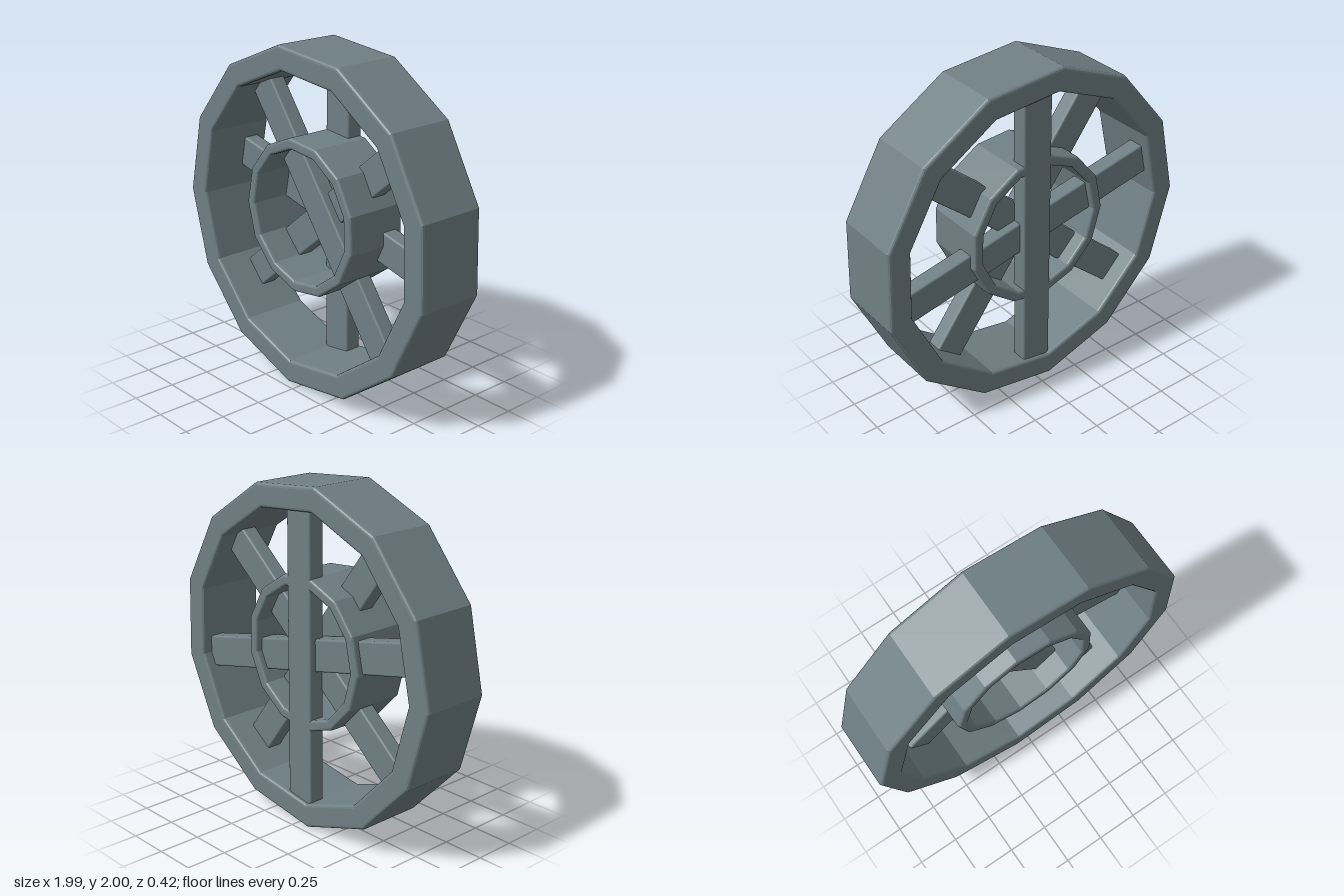
import * as THREE from 'three';
import { RoundedBoxGeometry } from 'three/addons/geometries/RoundedBoxGeometry.js';

const SIDES = 13;
const START = THREE.MathUtils.degToRad(98.7);

// Corner points of a thirteen-sided polygon
function polygon(radius) {
  return Array.from({ length: SIDES }, (_, i) => {
    const a = START + (i / SIDES) * Math.PI * 2;
    return new THREE.Vector2(Math.cos(a) * radius, Math.sin(a) * radius);
  });
}

// Faceted ring with softened edges, centred on z = 0
function ring(outer, inner, depth, bevel) {
  const shape = new THREE.Shape(polygon(outer));
  shape.holes.push(new THREE.Path(polygon(inner).reverse()));
  const geometry = new THREE.ExtrudeGeometry(shape, {
    depth: depth - 2 * bevel,
    bevelSize: bevel,
    bevelThickness: bevel,
    bevelOffset: -bevel,
    bevelSegments: 3,
  });
  geometry.translate(0, 0, -depth / 2 + bevel);
  return geometry;
}

export function createModel() {
  const wheel = new THREE.Group();
  wheel.name = 'spokedWheel';
  const slate = new THREE.MeshStandardMaterial({ color: 0x6f7f84 });
  slate.name = 'slateGrey';

  const add = (name, geometry, x, y, z) => {
    const mesh = new THREE.Mesh(geometry, slate);
    mesh.name = name;
    mesh.position.set(x, y, z);
    wheel.add(mesh);
    return mesh;
  };

  // Outer rim and open hub
  add('rim', ring(1.008, 0.865, 0.424, 0.018), 0.005, 1, 0);
  add('hub', ring(0.456, 0.392, 0.38, 0.016), -0.015, 1.033, 0);

  // Four full-width bars stacked from back to front: angle, height, depth
  const bars = [
    [90, 1.0, -0.14],
    [-12.5, 1.015, -0.1],
    [40, 1.012, -0.05],
    [-53.3, 1.03, 0.0],
  ];
  bars.forEach(([angle, y, z], i) => {
    const bar = add(`spokeBar${i + 1}`, new RoundedBoxGeometry(1.78, 0.187, 0.1, 2, 0.012), 0, y, z);
    bar.rotation.z = THREE.MathUtils.degToRad(angle);
  });

  return wheel;
}
